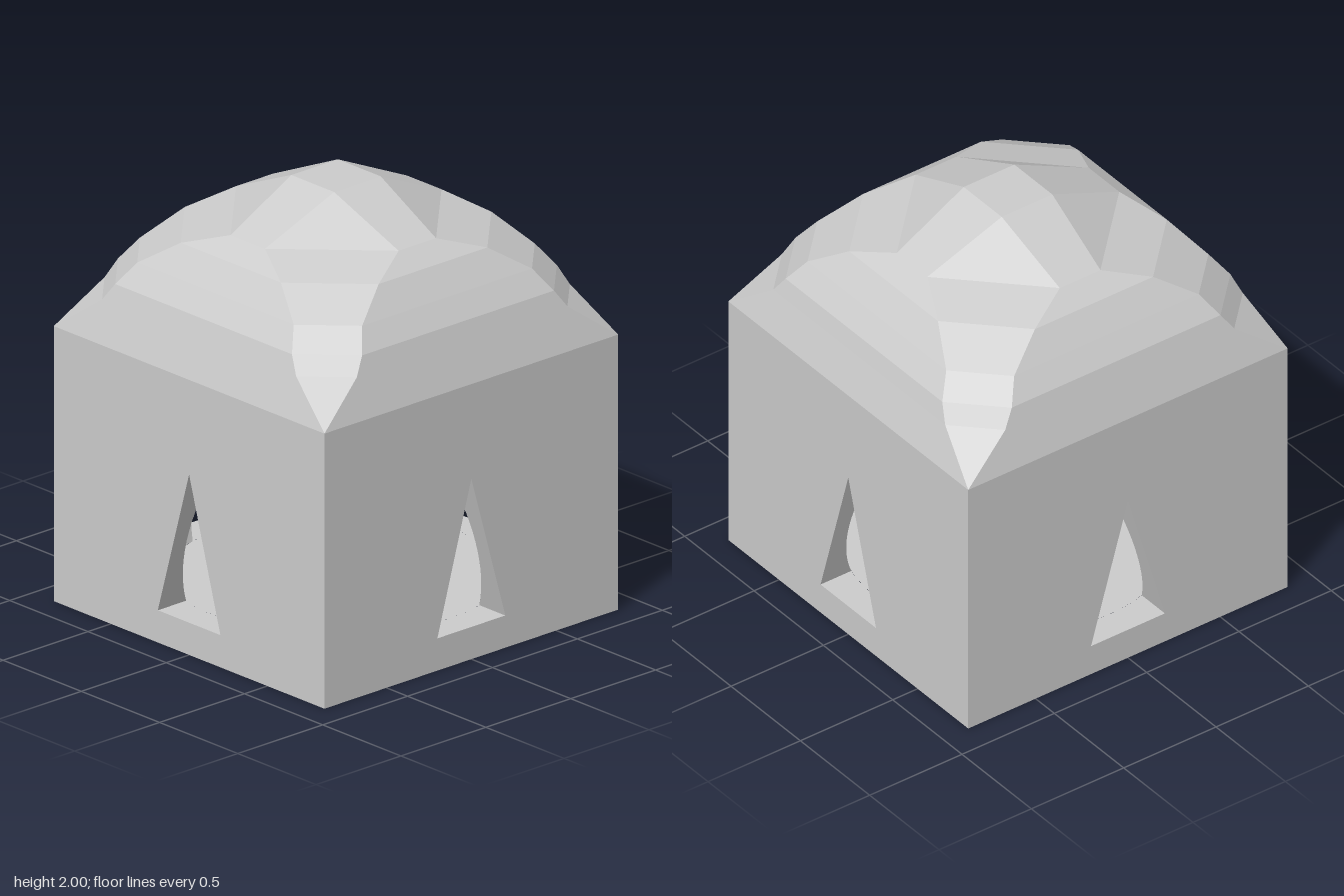
import * as THREE from 'three';
import { ParametricGeometry } from 'three/addons/geometries/ParametricGeometry.js';

const HALF = 0.865, EAVES = 1.28;             // square base block
const SILL = 0.15, APEX = 0.84, DOOR = 0.2;   // triangular openings
const R = 0.79, CY = 0.46;                    // round inner chamber

const flat = new THREE.MeshStandardMaterial({ color: 0xcccccc, flatShading: true });
const inner = new THREE.MeshStandardMaterial({ color: 0xcccccc, side: THREE.DoubleSide });

// half-width of an opening and radius of the chamber at height y
const doorHalf = y => Math.max(0, DOOR * (APEX - y) / (APEX - SILL));
const chamberRadius = y => Math.sqrt(Math.max(0, R * R - (y - CY) ** 2));
const chamberDepth = (x, y) => Math.sqrt(Math.max(0, chamberRadius(y) ** 2 - x * x));

function part(name, geometry, material, parent) {
  const mesh = new THREE.Mesh(geometry, material);
  mesh.name = name;
  parent.add(mesh);
  return mesh;
}

// Faceted dome: eight-sided rings, each given by [y, a, b]
function domeGeometry() {
  const levels = [
    [EAVES, HALF, HALF], [1.46, 0.62, 0.806], [1.54, 0.565, 0.78], [1.64, 0.5, 0.71],
    [1.76, 0.32, 0.62], [1.83, 0.11, 0.52], [2, 0.137, 0.137],
  ];
  const rings = levels.map(([y, a, b]) =>
    [[-a, b], [a, b], [b, a], [b, -a], [a, -b], [-a, -b], [-b, -a], [-b, a]]
      .map(([x, z]) => new THREE.Vector3(x, y, z)));
  const pos = [];
  const tri = (p, q, r) => {
    const area = new THREE.Triangle(p, q, r).getArea();
    if (area > 1e-7) for (const v of [p, q, r]) pos.push(v.x, v.y, v.z);
  };
  for (let i = 0; i < rings.length - 1; i++) {
    for (let j = 0; j < 8; j++) {
      const k = (j + 1) % 8, lo = rings[i], hi = rings[i + 1];
      tri(lo[j], lo[k], hi[k]);
      tri(lo[j], hi[k], hi[j]);
    }
  }
  const top = rings[rings.length - 1];
  tri(top[0], top[2], top[4]);
  tri(top[0], top[4], top[6]);
  const g = new THREE.BufferGeometry();
  g.setAttribute('position', new THREE.Float32BufferAttribute(pos, 3));
  g.computeVertexNormals();
  return g;
}

// Outer wall with its triangular opening
function wallGeometry() {
  const s = new THREE.Shape([
    new THREE.Vector2(-HALF, 0), new THREE.Vector2(HALF, 0),
    new THREE.Vector2(HALF, EAVES), new THREE.Vector2(-HALF, EAVES),
  ]);
  s.holes.push(new THREE.Path([
    new THREE.Vector2(-DOOR, SILL), new THREE.Vector2(0, APEX), new THREE.Vector2(DOOR, SILL),
  ]));
  return new THREE.ShapeGeometry(s).translate(0, 0, HALF);
}

// Sloping side of an opening, running from the outer wall to the chamber
const jambGeometry = side => new ParametricGeometry((u, v, p) => {
  const y = SILL + (APEX - SILL) * u, x = doorHalf(y);
  p.set(side * x, y, THREE.MathUtils.lerp(HALF, chamberDepth(x, y), v));
}, 20, 1);

const sillGeometry = () => new ParametricGeometry((u, v, p) => {
  const x = DOOR * (2 * u - 1);
  p.set(x, SILL, THREE.MathUtils.lerp(HALF, chamberDepth(x, SILL), v));
}, 10, 1);

// Quarter of the round chamber between two neighbouring openings
const chamberGeometry = (y0, y1, rows) => new ParametricGeometry((u, v, p) => {
  // rows are spaced evenly by angle up the sphere
  const t0 = Math.asin((y0 - CY) / R), t1 = Math.asin(Math.min(1, (y1 - CY) / R));
  const y = CY + R * Math.sin(THREE.MathUtils.lerp(t0, t1, v));
  const r = chamberRadius(y);
  const edge = r > 1e-4 ? Math.asin(Math.min(1, doorHalf(y) / r)) : 0;
  const a = THREE.MathUtils.lerp(edge, Math.PI / 2 - edge, u);
  p.set(r * Math.sin(a), y, r * Math.cos(a));
}, 16, rows);

export function createModel() {
  const model = new THREE.Group();
  model.name = 'domedHut';

  part('domeRoof', domeGeometry(), flat, model);
  part('base', new THREE.PlaneGeometry(2 * HALF, 2 * HALF).rotateX(Math.PI / 2), flat, model);
  part('chamberFloor', new THREE.CircleGeometry(chamberRadius(SILL), 64)
    .rotateX(-Math.PI / 2).translate(0, SILL, 0), inner, model);

  // four equal sides
  for (let i = 0; i < 4; i++) {
    const side = new THREE.Group();
    side.name = 'side' + (i + 1);
    side.rotation.y = i * Math.PI / 2;
    part('wall', wallGeometry(), flat, side);
    part('leftJamb', jambGeometry(1), inner, side);
    part('rightJamb', jambGeometry(-1), inner, side);
    part('sill', sillGeometry(), inner, side);
    part('chamberWall', chamberGeometry(SILL, APEX, 16), inner, side);
    part('chamberVault', chamberGeometry(APEX, CY + R, 12), inner, side);
    model.add(side);
  }
  return model;
}
